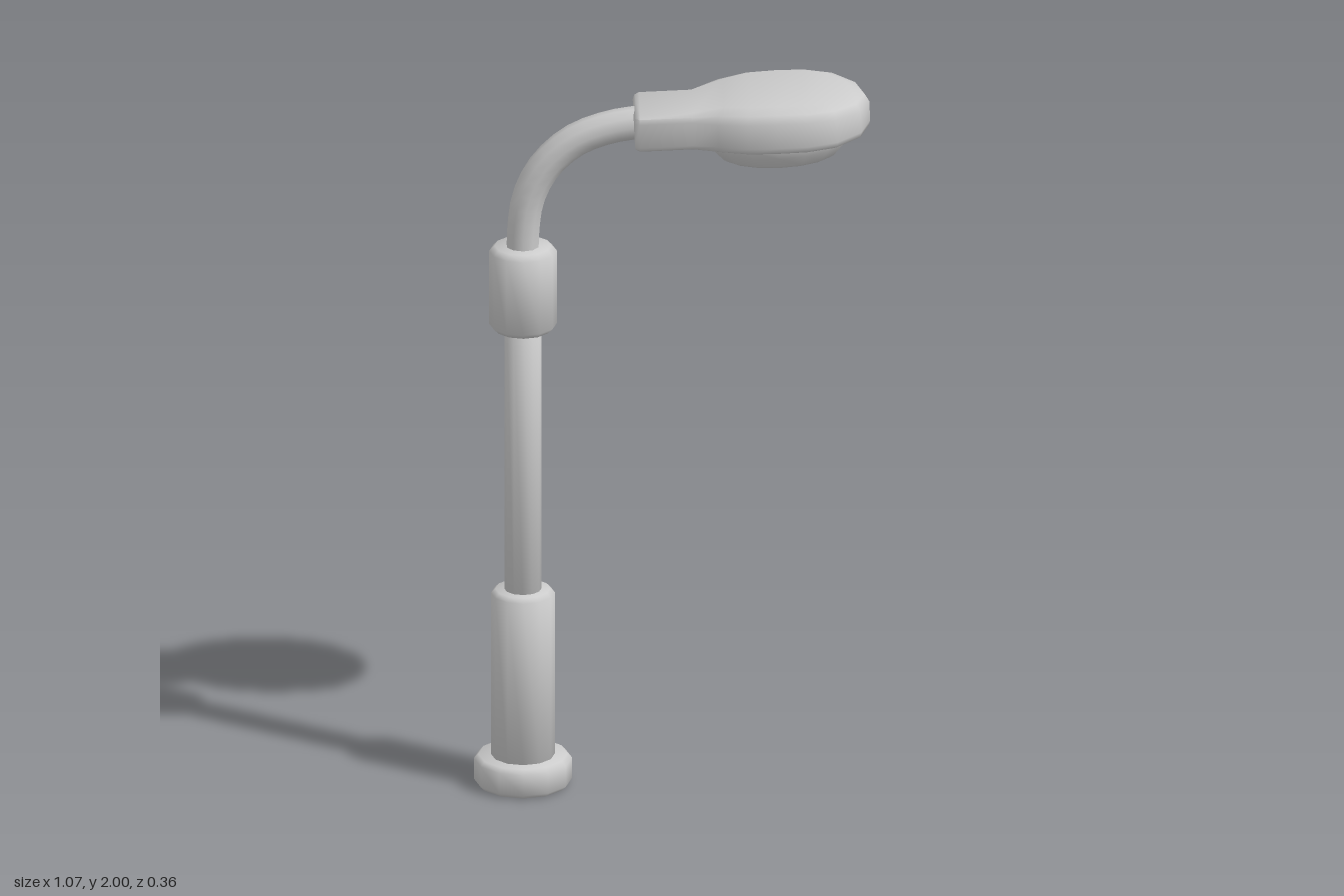
import * as THREE from 'three';
import { mergeVertices, toCreasedNormals } from 'three/addons/utils/BufferGeometryUtils.js';

const material = new THREE.MeshStandardMaterial({ color: 0xcccccc });
const POLE_X = -0.405;

function part(name, geometry, parent) {
  geometry.deleteAttribute('uv');
  geometry.deleteAttribute('normal');
  const mesh = new THREE.Mesh(toCreasedNormals(mergeVertices(geometry), 0.9), material);
  mesh.name = name;
  parent.add(mesh);
  return mesh;
}

// Twelve-sided solid cylinder with bevelled rims
function bevelledCylinder(name, radius, y0, y1, bevel, parent) {
  const profile = [
    [0, y0], [radius - bevel, y0], [radius, y0 + bevel],
    [radius, y1 - bevel], [radius - bevel, y1], [0, y1],
  ].map(([r, y]) => new THREE.Vector2(r, y));
  part(name, new THREE.LatheGeometry(profile, 12), parent).position.x = POLE_X;
}

// Lamp housing: stacked rings of one mirrored outline, closed by flat strips
function housingGeometry() {
  // x, half width z, height
  const half = [
    [-0.105, 0.09, 0.1], [-0.09, 0.105, 0.1], [0.05, 0.105, 0.1],
    [0.12, 0.147, 0.12], [0.2, 0.175, 0.125], [0.28, 0.18, 0.126],
    [0.36, 0.178, 0.125], [0.44, 0.153, 0.121], [0.505, 0.087, 0.115], [0.53, 0, 0.112],
  ];
  const n = half.length;
  const loop = [...half, ...half.slice(0, -1).reverse().map(([x, z, h]) => [x, -z, h])];
  const N = loop.length;
  // inset, distance from bottom or from top
  const rings = [[0.02, 0, 0], [0.005, 0.007, 0], [0, 0.022, 0], [0, -0.035, 1], [0.012, -0.013, 1], [0.045, 0, 1]];
  const positions = [], index = [];
  for (const [inset, offset, top] of rings) {
    loop.forEach(([x, z, h], i) => {
      const a = loop[(i + N - 1) % N], b = loop[(i + 1) % N];
      const normal = new THREE.Vector2(a[1] - b[1], b[0] - a[0]).normalize();
      const k = inset * (x < 0.1 ? 0.4 : 1);
      positions.push(x - normal.x * k, top * h + offset * (x < 0.1 ? 0.6 : 1), z - normal.y * k);
    });
  }
  for (let r = 0; r < rings.length - 1; r++) {
    for (let i = 0; i < N; i++) {
      const a = r * N + i, b = r * N + (i + 1) % N;
      index.push(a, b, b + N, a, b + N, a + N);
    }
  }
  const last = (rings.length - 1) * N;
  for (let i = 0; i < n - 1; i++) {
    const j = i + 1, mi = N - 1 - i, mj = N - 1 - j;
    index.push(last + i, last + mj, last + mi, i, mi, mj);
    if (j !== mj) index.push(last + i, last + j, last + mj, i, mj, j);
  }
  const geometry = new THREE.BufferGeometry();
  geometry.setAttribute('position', new THREE.Float32BufferAttribute(positions, 3));
  geometry.setIndex(index);
  geometry.computeVertexNormals();
  return geometry;
}

export function createModel() {
  const model = new THREE.Group();
  model.name = 'streetLamp';

  // Upright column
  bevelledCylinder('basePlate', 0.132, 0, 0.083, 0.012, model);
  bevelledCylinder('lowerSleeve', 0.086, 0.07, 0.56, 0.012, model);
  bevelledCylinder('pole', 0.05, 0.5, 1.35, 0.005, model);
  bevelledCylinder('collar', 0.091, 1.31, 1.55, 0.015, model);

  // Curved arm
  const path = new THREE.CatmullRomCurve3([
    [POLE_X, 1.5], [POLE_X, 1.58], [-0.39, 1.69], [-0.345, 1.78],
    [-0.27, 1.85], [-0.18, 1.888], [-0.09, 1.904], [-0.03, 1.907],
  ].map(([x, y]) => new THREE.Vector3(x, y, 0)));
  part('arm', new THREE.TubeGeometry(path, 16, 0.045, 10), model);

  // Slightly raised lamp head
  const head = new THREE.Group();
  head.name = 'lampHead';
  head.position.y = 1.86;
  head.rotation.z = 0.043;
  model.add(head);
  part('housing', housingGeometry(), head);

  // Oval lens under the housing
  const profile = [
    [0, -0.064], [0.74, -0.064], [0.8, -0.057], [0.93, -0.028], [1, -0.004], [1, 0.03], [0, 0.03],
  ].map(([r, y]) => new THREE.Vector2(r, y));
  const lens = new THREE.LatheGeometry(profile, 16);
  lens.scale(0.2, 1, 0.137);
  part('lens', lens, head).position.x = 0.28;

  return model;
}
